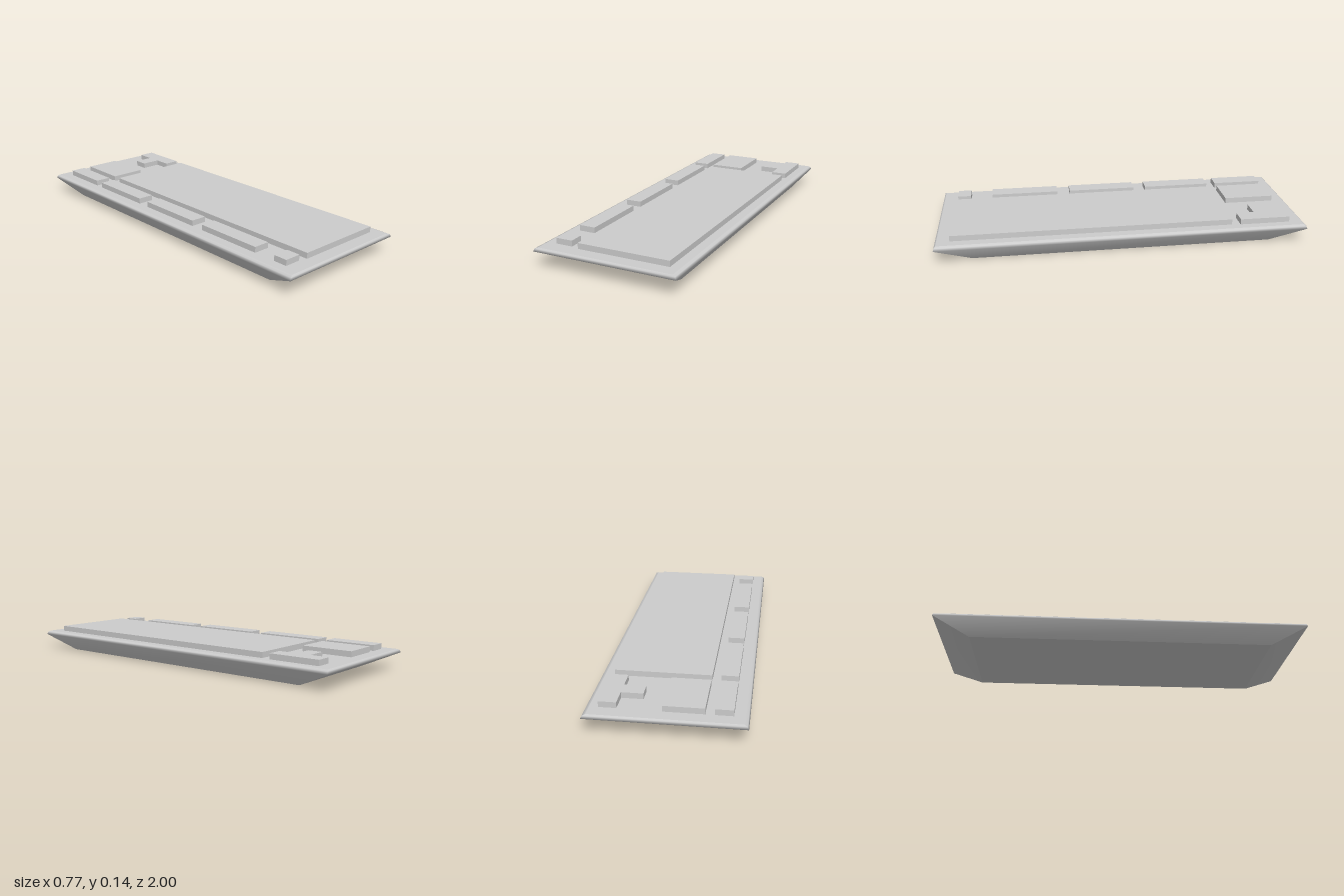
import * as THREE from 'three';
import { mergeGeometries } from 'three/addons/utils/BufferGeometryUtils.js';

const CASE_TOP = 0.106, KEY_TOP = 0.136;

// Case rings from bottom to top: [y, half width, half length]
const RINGS = [
  [0, 0.313, 0.81],
  [0.086, 0.384, 1],
  [0.1, 0.378, 0.996],
  [CASE_TOP, 0.363, 0.988],
];

// One wall: rings joined between two neighbouring corners, smooth from bottom to top
function wall(from, to) {
  const positions = [], index = [];
  RINGS.forEach(([y, hx, hz], i) => {
    for (const [sx, sz] of [from, to]) positions.push(sx * hx, y, sz * hz);
    if (i) {
      const a = 2 * i - 2;
      index.push(a, a + 1, a + 3, a, a + 3, a + 2);
    }
  });
  const g = new THREE.BufferGeometry();
  g.setAttribute('position', new THREE.Float32BufferAttribute(positions, 3));
  g.setIndex(index);
  g.computeVertexNormals();
  return g;
}

function cap([y, hx, hz], up) {
  const g = new THREE.PlaneGeometry(2 * hx, 2 * hz);
  g.rotateX(up ? -Math.PI / 2 : Math.PI / 2).translate(0, y, 0);
  g.deleteAttribute('uv');
  return g;
}

export function createModel() {
  const model = new THREE.Group();
  model.name = 'keyboard';
  const material = new THREE.MeshStandardMaterial({ color: 0xcccccc });

  const add = (name, geometry) => {
    const mesh = new THREE.Mesh(geometry, material);
    mesh.name = name;
    model.add(mesh);
    return mesh;
  };

  // Tapered case with a bevelled rim
  const corners = [[-1, 1], [1, 1], [1, -1], [-1, -1]];
  const walls = corners.map((c, i) => wall(c, corners[(i + 1) % 4]));
  add('case', mergeGeometries([...walls, cap(RINGS[0], false), cap(RINGS[3], true)]));

  // Rectangular key blocks: name, x range, z range
  const blocks = [
    ['mainKeys', -0.18, 0.314, -0.595, 0.92],
    ['navigationKeys', -0.18, 0.018, -0.922, -0.642],
    ['escapeKey', -0.312, -0.222, 0.833, 0.908],
    ['functionKeys1', -0.312, -0.224, 0.326, 0.71],
    ['functionKeys2', -0.312, -0.224, -0.135, 0.251],
    ['functionKeys3', -0.312, -0.224, -0.59, -0.208],
    ['systemKeys', -0.312, -0.224, -0.922, -0.642],
  ];
  const height = KEY_TOP - CASE_TOP;
  for (const [name, x0, x1, z0, z1] of blocks) {
    add(name, new THREE.BoxGeometry(x1 - x0, height, z1 - z0))
      .position.set((x0 + x1) / 2, CASE_TOP + height / 2, (z0 + z1) / 2);
  }

  // T-shaped arrow key block
  const outline = [
    [0.233, -0.918], [0.32, -0.918], [0.32, -0.642], [0.233, -0.642],
    [0.233, -0.741], [0.124, -0.741], [0.124, -0.82], [0.233, -0.82],
  ].map(([x, z]) => new THREE.Vector2(x, z));
  const arrows = new THREE.ExtrudeGeometry(new THREE.Shape(outline), { depth: height, bevelEnabled: false });
  arrows.rotateX(Math.PI / 2);
  add('arrowKeys', arrows).position.y = KEY_TOP;

  return model;
}
